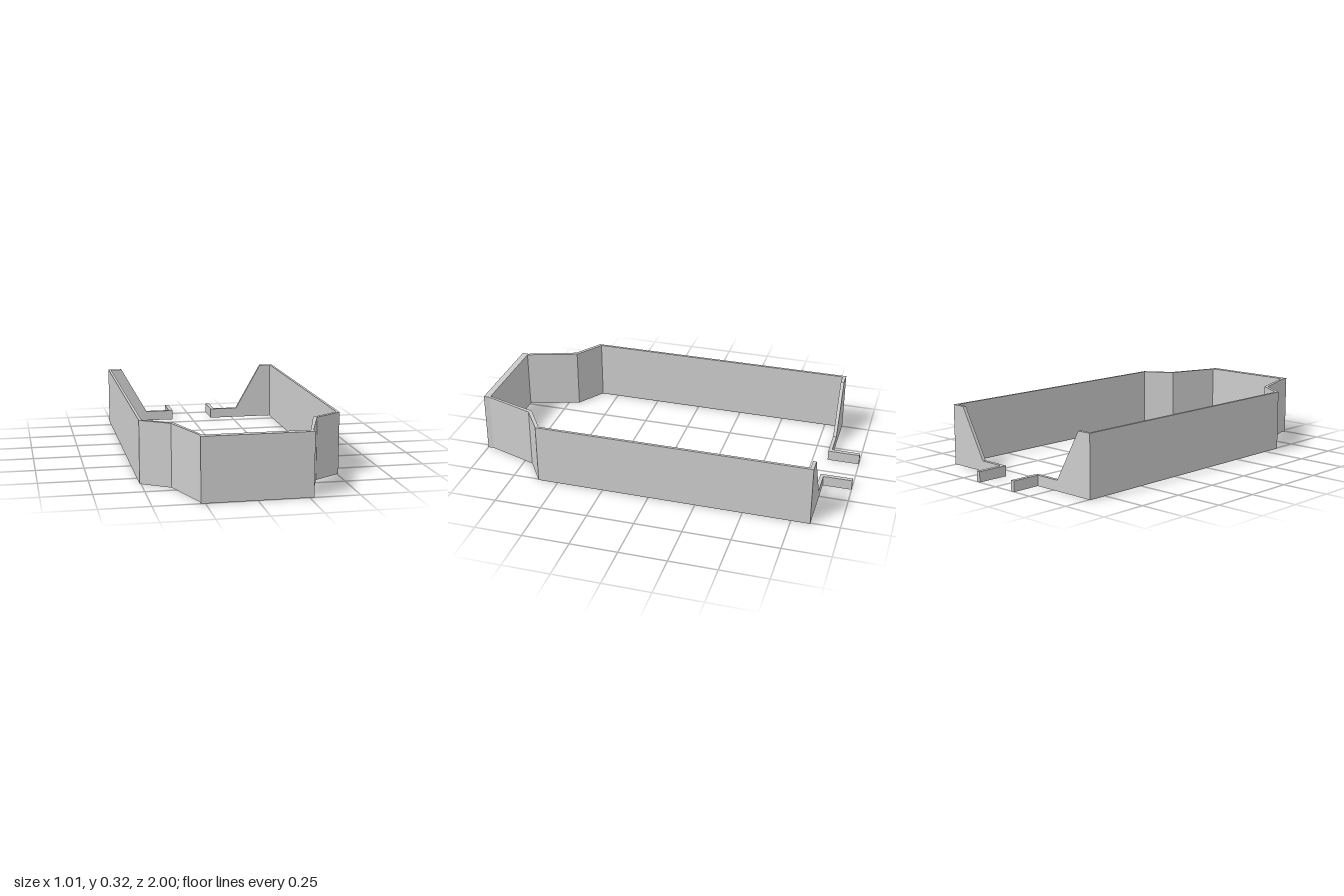
import * as THREE from 'three';

const HEIGHT = 0.32;      // full wall height
const LIP = 0.055;        // height of the low rear strip and tabs
const BACK = -0.848;      // rear face of the back panels

const material = new THREE.MeshStandardMaterial({ color: 0xcccccc, flatShading: true });

function addMesh(group, name, geometry) {
  const mesh = new THREE.Mesh(geometry, material);
  mesh.name = name;
  group.add(mesh);
}

// Upright wall from a plan outline of [x, z] points, mirrored by side
function wall(points, side, height = HEIGHT) {
  const shape = new THREE.Shape(points.map(([x, z]) => new THREE.Vector2(side * x, -z)));
  return new THREE.ExtrudeGeometry(shape, { depth: height, bevelEnabled: false }).rotateX(-Math.PI / 2);
}

// Upright panel from an elevation outline of [x, y] points, mirrored by side
function panel(points, side, z, thickness) {
  const shape = new THREE.Shape(points.map(([x, y]) => new THREE.Vector2(side * x, y)));
  return new THREE.ExtrudeGeometry(shape, { depth: thickness, bevelEnabled: false }).translate(0, 0, z);
}

export function createModel() {
  const model = new THREE.Group();
  model.name = 'openFrame';

  // Thick plate closing the front
  addMesh(model, 'frontPlate', new THREE.BoxGeometry(0.544, HEIGHT, 0.035).translate(0, HEIGHT / 2, 0.9825));

  for (const side of [1, -1]) {
    const half = new THREE.Group();
    half.name = side > 0 ? 'leftHalf' : 'rightHalf';
    model.add(half);

    // Long straight side
    addMesh(half, 'sideWall', wall([[0.507, BACK], [0.507, 0.607], [0.493, 0.597], [0.493, BACK]], side));

    // Angled walls narrowing to the front plate, meeting at a knee
    addMesh(half, 'shoulderWall', wall([[0.507, 0.607], [0.363, 0.703], [0.346, 0.692], [0.493, 0.594]], side));
    addMesh(half, 'taperedWall', wall([[0.363, 0.703], [0.272, 0.967], [0.258, 0.967], [0.346, 0.692]], side));

    // Rear panel sloping down to a low strip
    addMesh(half, 'backPanel', panel(
      [[0.507, 0], [0.507, HEIGHT], [0.43, HEIGHT], [0.28, LIP], [0.119, LIP], [0.119, 0]], side, BACK, 0.018));

    // Small tab projecting backwards
    addMesh(half, 'rearTab', wall([[0.119, -1], [0.141, -1], [0.141, -0.83], [0.119, -0.83]], side, LIP));
  }
  return model;
}
